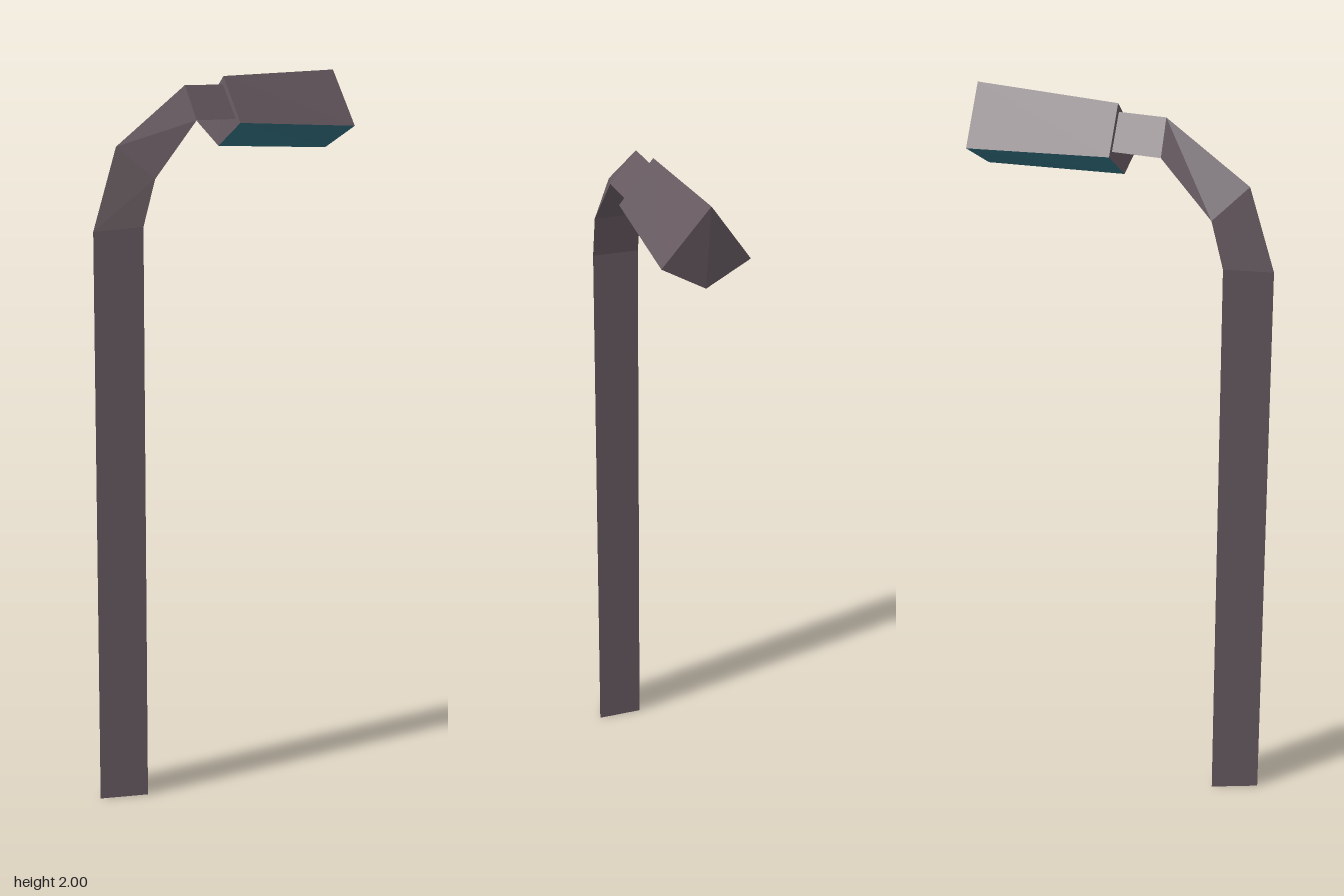
import * as THREE from 'three';

const bodyMat = new THREE.MeshStandardMaterial({ color: 0x665a60, flatShading: true });
const lensMat = new THREE.MeshStandardMaterial({ color: 0x327080, flatShading: true });

// Skins a chain of cross-sections (counter-clockwise seen from the far end).
// sides picks which strips to build; caps closes both ends.
function loft(rings, sides, caps) {
  const pos = [];
  const tri = (...pts) => pts.forEach((p) => pos.push(...p));
  const n = rings[0].length;
  for (let r = 0; r < rings.length - 1; r++) {
    const a = rings[r], b = rings[r + 1];
    for (const i of sides) {
      const j = (i + 1) % n;
      tri(a[i], a[j], b[j]);
      tri(a[i], b[j], b[i]);
    }
  }
  if (caps) {
    const first = rings[0], last = rings[rings.length - 1];
    for (let i = 1; i < n - 1; i++) {
      tri(first[0], first[i + 1], first[i]);
      tri(last[0], last[i], last[i + 1]);
    }
  }
  const geo = new THREE.BufferGeometry();
  geo.setAttribute('position', new THREE.Float32BufferAttribute(pos, 3));
  geo.computeVertexNormals();
  return geo;
}

function addPart(group, name, geometry, material) {
  const mesh = new THREE.Mesh(geometry, material);
  mesh.name = name;
  group.add(mesh);
}

// Three-sided section: one outer ridge point and a pair of inner corners
const poleRing = ([ox, oy, ix, iy, dz]) => [
  [ox, oy, dz], [ix, iy, 0.067 + dz], [ix, iy, -0.067 + dz],
];

// Kite-shaped section: top ridge, front corner, bottom keel, back corner
const headRing = (topX, topY, sideX, sideY, halfWidth, keelY) => [
  [topX, topY, 0], [sideX, sideY, halfWidth], [sideX, keelY, 0], [sideX, sideY, -halfWidth],
];

export function createModel() {
  const group = new THREE.Group();
  group.name = 'streetLamp';

  // Upright post bending over into the arm
  const poleRings = [
    [-0.452, 0, -0.335, 0, -0.005],
    [-0.452, 1.585, -0.335, 1.595, -0.005],
    [-0.375, 1.805, -0.297, 1.72, 0],
    [-0.13, 1.962, -0.148, 1.87, 0],
    [0.02, 1.962, 0.02, 1.87, 0],
  ].map(poleRing);
  addPart(group, 'pole', loft(poleRings, [0, 1, 2], true), bodyMat);

  // Flaring lamp head: roof and ends in body colour, glass on the lower sides
  const headRings = [
    headRing(0.013, 1.985, -0.006, 1.86, 0.088, 1.795),
    headRing(0.449, 2.0, 0.42, 1.842, 0.117, 1.777),
  ];
  addPart(group, 'lampHousing', loft(headRings, [0, 3], true), bodyMat);
  addPart(group, 'lampGlass', loft(headRings, [1, 2], false), lensMat);

  return group;
}
